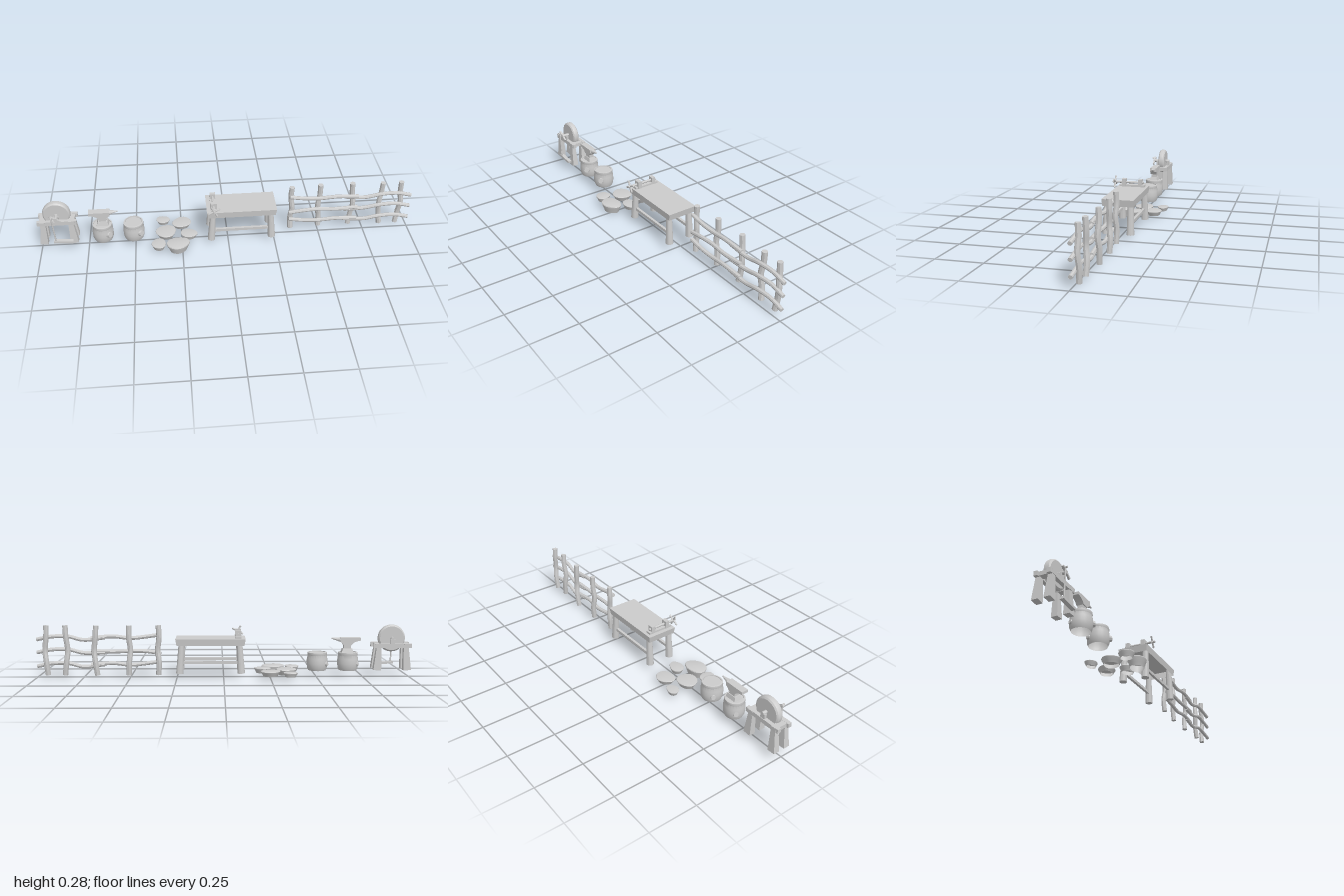
import * as THREE from 'three';
import { toCreasedNormals } from 'three/addons/utils/BufferGeometryUtils.js';

const mat = new THREE.MeshStandardMaterial({ color: 0xcccccc, side: THREE.DoubleSide });
const V = (x, y, z) => new THREE.Vector3(x, y, z);

function add(parent, name, geometry, x = 0, y = 0, z = 0) {
  const mesh = new THREE.Mesh(toCreasedNormals(geometry, 0.6), mat);
  mesh.name = name;
  mesh.position.set(x, y, z);
  parent.add(mesh);
  return mesh;
}

function group(parent, name, x = 0, y = 0, z = 0) {
  const g = new THREE.Group();
  g.name = name;
  g.position.set(x, y, z);
  parent.add(g);
  return g;
}

const box = (w, h, d) => new THREE.BoxGeometry(w, h, d);

// Cylinder running between two points, r0 at a and r1 at b
function bar(parent, name, a, b, r0, r1 = r0, sides = 10) {
  const dir = b.clone().sub(a);
  const m = add(parent, name, new THREE.CylinderGeometry(r1, r0, dir.length(), sides));
  m.position.copy(a).add(b).multiplyScalar(0.5);
  m.quaternion.setFromUnitVectors(V(0, 1, 0), dir.normalize());
  return m;
}

// Crooked branch: tube through points with closed ends
function branch(parent, name, points, radius) {
  const curve = new THREE.CatmullRomCurve3(points);
  add(parent, name, new THREE.TubeGeometry(curve, 18, radius, 8));
  for (const t of [0, 1]) {
    const cap = add(parent, name + 'End', new THREE.CircleGeometry(radius, 8));
    cap.position.copy(curve.getPoint(t));
    cap.quaternion.setFromUnitVectors(V(0, 0, 1), curve.getTangent(t).multiplyScalar(t ? 1 : -1));
  }
}

// Box whose bottom is scaled relative to its top
function taperedBox(w, h, d, sx, sz = sx) {
  const g = box(w, h, d);
  const p = g.attributes.position;
  for (let i = 0; i < p.count; i++)
    if (p.getY(i) < 0) p.setXYZ(i, p.getX(i) * sx, p.getY(i), p.getZ(i) * sz);
  return g;
}

// Lathe with an uneven outline
function unevenLathe(profile, seed, amount, sides = 24) {
  const g = new THREE.LatheGeometry(profile.map(([r, y]) => new THREE.Vector2(r, y)), sides);
  const p = g.attributes.position;
  for (let i = 0; i < p.count; i++) {
    const a = Math.atan2(p.getZ(i), p.getX(i));
    const k = 1 + amount * (Math.sin(2 * a + seed) + 0.7 * Math.sin(3 * a + seed * 2.3));
    p.setXYZ(i, p.getX(i) * k, p.getY(i), p.getZ(i) * k);
  }
  return g;
}

function grindstone(root) {
  const g = group(root, 'grindstone', -0.9, 0, -0.003);
  // Wooden frame
  for (const s of [-1, 1]) {
    add(g, 'frameRail', box(0.205, 0.023, 0.02), 0, 0.172, s * 0.033);
    add(g, 'frameCrosspiece', box(0.032, 0.021, 0.09), s * 0.076, 0.172, 0);
    add(g, 'axleBearing', box(0.026, 0.028, 0.014), 0, 0.194, s * 0.033);
    for (const t of [-1, 1]) {
      const leg = add(g, 'leg', taperedBox(0.026, 0.125, 0.022, 1.6, 1.5), s * 0.076, 0.104, t * 0.031);
      leg.rotation.z = s * 0.06;
    }
  }
  // Stone wheel, rounded at the rim
  const rim = [[0, -0.018], [0.064, -0.018], [0.071, -0.012], [0.073, 0], [0.071, 0.012], [0.064, 0.018], [0, 0.018]];
  const wheel = add(g, 'wheel', unevenLathe(rim, 0, 0, 32), 0, 0.21, 0);
  wheel.rotation.x = Math.PI / 2;
  bar(g, 'axle', V(0, 0.21, -0.042), V(0, 0.21, 0.062), 0.009);
  // Crank, connecting rod and treadle
  const crank = add(g, 'crank', box(0.07, 0.01, 0.01), 0, 0.21, 0.057);
  crank.rotation.z = -0.55;
  bar(g, 'crankPin', V(-0.02, 0.222, 0.05), V(-0.02, 0.222, 0.075), 0.005);
  bar(g, 'treadleRod', V(-0.02, 0.222, 0.066), V(-0.014, 0.068, 0.062), 0.004);
  add(g, 'treadle', box(0.1, 0.012, 0.022), 0.025, 0.066, 0.058).rotation.z = -0.08;
}

function stump(root, x, r, seed) {
  const g = group(root, 'stump', x, 0, 0.005);
  // Bark with a raised rim around the cut top, open underneath
  const profile = [[0.85, 0.036], [0.97, 0.052], [1, 0.075], [0.98, 0.1], [0.92, 0.118],
    [0.95, 0.122], [0.93, 0.133], [0.8, 0.134], [0.79, 0.13], [0, 0.13]];
  add(g, 'trunk', unevenLathe(profile.map(([a, y]) => [a * r, y]), seed, 0.02));
  // Cut-off branch
  bar(g, 'knot', V(r * 0.4, 0.082, r * 0.5), V(r * 0.78, 0.087, r * 0.82), 0.02, 0.015);
  bar(g, 'knot', V(-r * 0.6, 0.07, -r * 0.4), V(-r * 0.92, 0.073, -r * 0.58), 0.016, 0.012);
}

function anvil(root) {
  const g = group(root, 'anvil', -0.665, 0, 0.003);
  // Foot, waist and body
  add(g, 'foot', taperedBox(0.05, 0.022, 0.036, 1.3), 0, 0.142, 0);
  add(g, 'waist', box(0.038, 0.03, 0.028), 0, 0.163, 0);
  const body = new THREE.Shape();
  body.moveTo(-0.07, 0.212);
  body.lineTo(-0.07, 0.197);
  body.quadraticCurveTo(-0.03, 0.192, -0.02, 0.17);
  body.lineTo(0.02, 0.17);
  body.quadraticCurveTo(0.028, 0.184, 0.04, 0.19);
  body.lineTo(0.04, 0.212);
  add(g, 'body', new THREE.ExtrudeGeometry(body, { depth: 0.038, bevelEnabled: false }), 0, 0, -0.019);
  // Horn
  const horn = bar(g, 'horn', V(0.038, 0.201, 0), V(0.085, 0.208, 0), 0.014, 0.003, 12);
  horn.scale.x = 0.85;
}

function stones(root) {
  const g = group(root, 'steppingStones');
  // x, z, half width, half depth, bottom, top
  const list = [
    [-0.35, -0.118, 0.036, 0.032, 0.02, 0.044], [-0.247, -0.085, 0.051, 0.046, 0.018, 0.046],
    [-0.335, -0.012, 0.058, 0.05, 0.014, 0.046], [-0.212, 0.016, 0.046, 0.036, 0.018, 0.047],
    [-0.375, 0.09, 0.036, 0.044, 0.015, 0.046], [-0.273, 0.098, 0.062, 0.048, 0, 0.049]];
  list.forEach(([x, z, w, d, y0, y1], i) => {
    const profile = [[0.72, 0], [0.82, 0.35], [0.97, 0.75], [1, 0.88], [0.96, 0.97], [0.88, 1], [0, 1]];
    const s = add(g, 'stone', unevenLathe(profile, 1 + i * 1.7, 0.055), x, y0, z);
    s.scale.set(w, y1 - y0, d);
  });
}

function workbench(root) {
  const g = group(root, 'workbench', 0.07, 0, -0.005);
  // Hollow top, open underneath
  const top = taperedBox(0.37, 0.036, 0.166, 0.965, 0.96);
  const index = Array.from(top.index.array);
  index.splice(18, 6);
  top.setIndex(index);
  add(g, 'benchTop', top, 0, 0.197, 0);
  for (const s of [-1, 1]) {
    for (const t of [-1, 1])
      bar(g, 'leg', V(s * 0.163, 0.031, t * 0.064), V(s * 0.152, 0.205, t * 0.062), 0.02, 0.015, 14);
    add(g, 'stretcher', box(0.31, 0.015, 0.014), 0, 0.089, s * 0.062);
  }
  // Screw vise along the end of the bench
  const v = group(g, 'vise', -0.148, 0, 0.005);
  add(v, 'visePlate', box(0.03, 0.011, 0.138), 0, 0.22, -0.002);
  add(v, 'fixedJaw', box(0.03, 0.036, 0.02), 0, 0.236, -0.046);
  add(v, 'slidingJaw', box(0.034, 0.044, 0.022), 0, 0.234, 0.043);
  bar(v, 'screw', V(0, 0.237, -0.065), V(0, 0.237, 0.108), 0.0065);
  for (const a of [0.5, 0.5 + Math.PI / 2]) {
    const c = Math.cos(a) * 0.033, s = Math.sin(a) * 0.033;
    bar(v, 'handle', V(-c, 0.237 - s, 0.095), V(c, 0.237 + s, 0.095), 0.005);
  }
}

function fence(root) {
  const g = group(root, 'fence');
  // Crooked posts
  [[0.348, -0.024], [0.5, -0.034], [0.685, -0.034], [0.835, -0.024], [0.948, -0.024]].forEach(([x, z], i) => {
    const w = i % 2 ? 1 : -1;
    const tilt = [0, -0.006, 0.012, -0.012, 0.01][i];
    branch(g, 'post', [V(x - tilt, 0.016, z), V(x + w * 0.003, 0.085, z - 0.004), V(x - w * 0.004, 0.15, z + 0.002),
      V(x + w * 0.004, 0.22, z - 0.002), V(x - tilt * 0.6, 0.282, z)], 0.0145);
  });
  // Two overlapping runs of three crooked rails
  [0.215, 0.145, 0.07].forEach((y, i) => {
    const w = i === 1 ? -1 : 1;
    branch(g, 'leftRail', [V(0.335, y + w * 0.016, -0.006), V(0.42, y + w * 0.004, -0.004), V(0.5, y - 0.003, -0.008),
      V(0.59, y + w * 0.006, -0.004), V(0.71, y - 0.002, -0.008)], 0.0105);
    branch(g, 'rightRail', [V(0.635, y + w * 0.006 - 0.006, -0.006), V(0.75, y - 0.012, -0.01), V(0.83, y + 0.006, -0.005),
      V(0.92, y + 0.006, -0.009), V(0.999, y - 0.01, -0.006)], 0.0105);
  });
}

export function createModel() {
  const root = new THREE.Group();
  root.name = 'yardProps';
  grindstone(root);
  stump(root, -0.67, 0.055, 1);
  anvil(root);
  stump(root, -0.505, 0.056, 3);
  stones(root);
  workbench(root);
  fence(root);
  return root;
}
